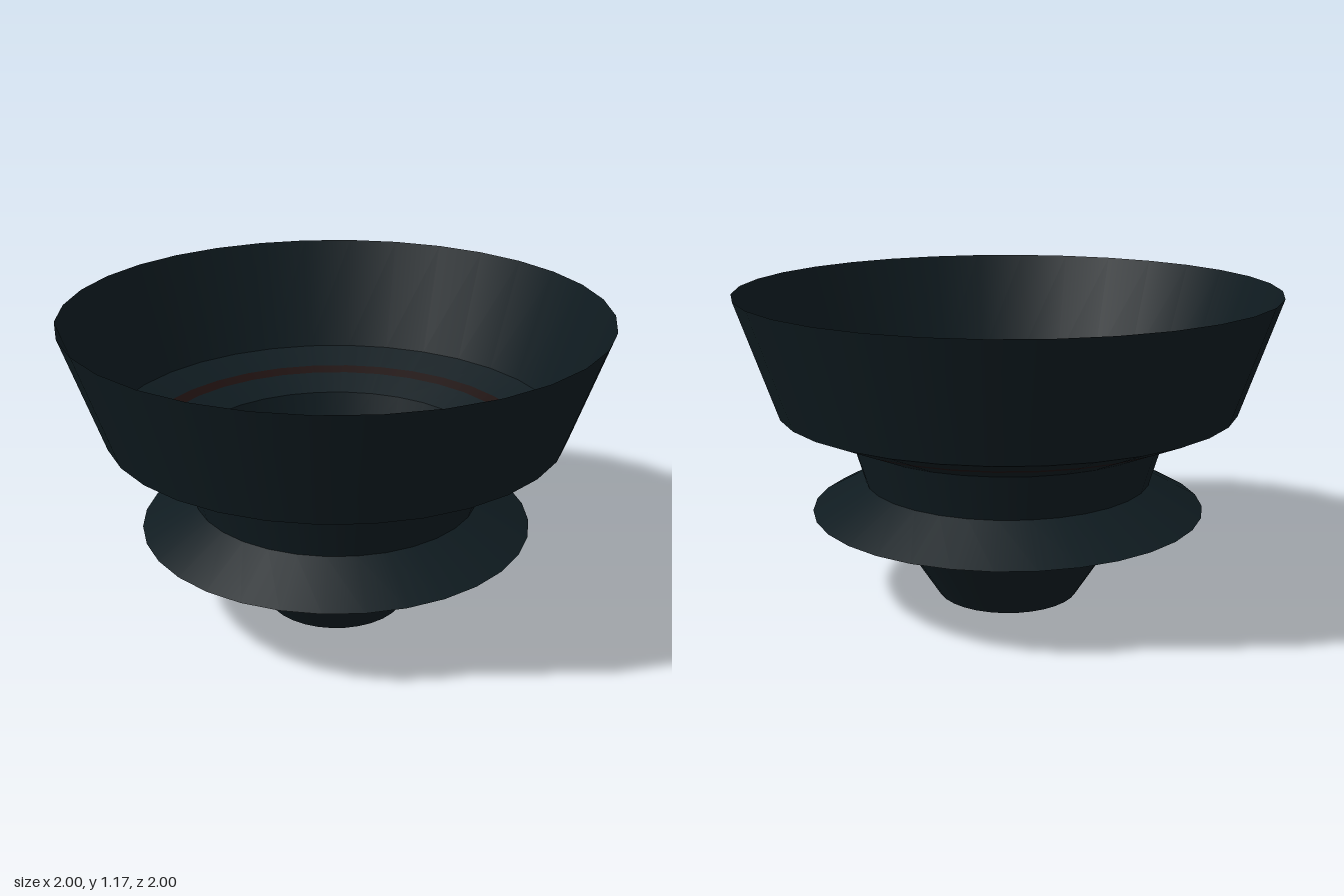
import * as THREE from 'three';

export function createModel() {
  const group = new THREE.Group();
  const material = (color) =>
    new THREE.MeshStandardMaterial({ color, side: THREE.DoubleSide });
  const shell = material(0x0f1b20);
  const accent = material(0x1c0f0e);

  // Thin-walled sections from the base up: name, lower [r, y], upper [r, y]
  const sections = [
    ['base', [0, 0], [0.27, 0]],
    ['lowerCone', [0.27, 0], [0.49, 0.345]],
    ['flangeUnderside', [0.49, 0.345], [0.74, 0.345]],
    ['flangeTop', [0.74, 0.345], [0.54, 0.455]],
    ['neck', [0.54, 0.455], [0.59, 0.625]],
    ['innerShoulder', [0.59, 0.625], [0.7, 0.673]],
    ['accentRing', [0.7, 0.673], [0.74, 0.69], accent],
    ['outerShoulder', [0.74, 0.69], [0.855, 0.74]],
    ['upperBowl', [0.855, 0.74], [1, 1.17]],
  ];

  // Each section is its own lathe, so the edges between them stay sharp
  for (const [name, low, high, mat = shell] of sections) {
    const profile = [new THREE.Vector2(...low), new THREE.Vector2(...high)];
    const mesh = new THREE.Mesh(new THREE.LatheGeometry(profile, 32), mat);
    mesh.name = name;
    group.add(mesh);
  }
  return group;
}
